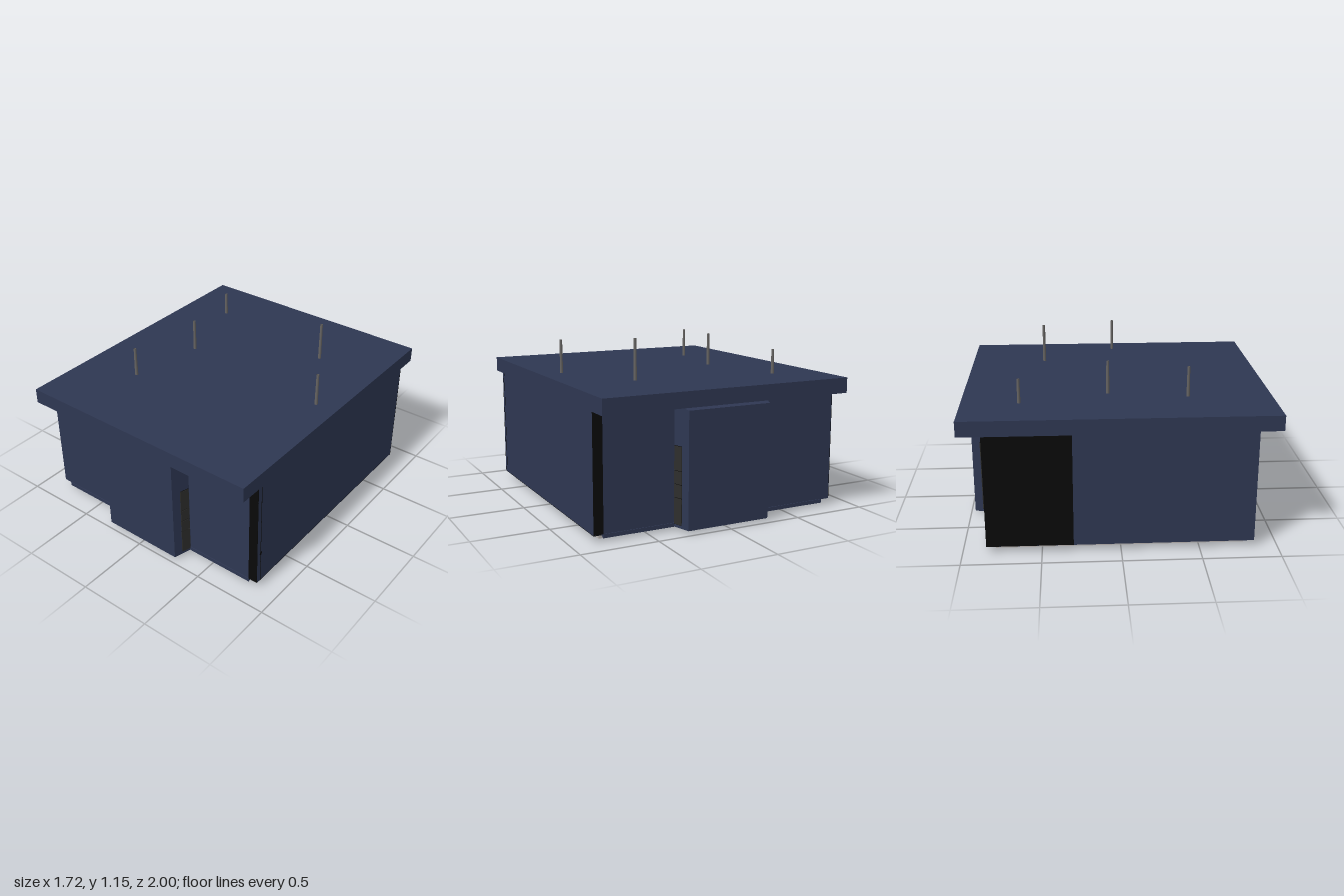
import * as THREE from 'three';

const material = (name, color, side = THREE.FrontSide) => {
  const m = new THREE.MeshStandardMaterial({ color, side });
  m.name = name;
  return m;
};

export function createModel() {
  const model = new THREE.Group();
  model.name = 'rooftopBlock';
  const navy = material('navy', 0x2e3752);
  const black = material('black', 0x090909);
  const charcoal = material('charcoal', 0x2e2e2c);
  const pipeGrey = material('pipeGrey', 0x666462, THREE.DoubleSide);
  const paleGrey = material('paleGrey', 0xb8b4b2);

  const add = (name, geometry, mat, parent = model) => {
    const mesh = new THREE.Mesh(geometry, mat);
    mesh.name = name;
    parent.add(mesh);
    return mesh;
  };
  // Box given by its lower and upper corners
  const box = (name, mat, [x0, y0, z0], [x1, y1, z1], parent) => {
    const g = new THREE.BoxGeometry(x1 - x0, y1 - y0, z1 - z0);
    g.translate((x0 + x1) / 2, (y0 + y1) / 2, (z0 + z1) / 2);
    return add(name, g, mat, parent);
  };

  // Main volumes
  box('roofSlab', navy, [-0.855, 0.785, -1], [0.855, 0.885, 1]);
  box('walls', navy, [-0.855, 0.042, -0.85], [0.855, 0.785, 0.85]);
  box('base', paleGrey, [-0.79, 0, -0.795], [0.8, 0.042, 0.795]);

  // Dark panels on the side and beneath one edge
  box('darkSidePanel', black, [-0.858, 0.044, -0.85], [-0.854, 0.784, -0.3]);
  box('darkEdgeUnderside', black, [0.805, 0.039, -0.85], [0.855, 0.043, 0.85]);
  box('sideSeam', black, [0.853, 0.044, 0.815], [0.856, 0.784, 0.819]);
  const knob = add('sideKnob', new THREE.OctahedronGeometry(0.012), black);
  knob.scale.set(0.3, 2, 1);
  knob.position.set(0.855, 0.265, 0.815);

  // Tapering bay in plan, with its outer top edge lowered
  const bayGeometry = () => {
    const plan = new THREE.Shape([
      new THREE.Vector2(-0.32, -0.85), new THREE.Vector2(-0.285, -0.97),
      new THREE.Vector2(0.285, -0.97), new THREE.Vector2(0.32, -0.85),
    ]);
    const g = new THREE.ExtrudeGeometry(plan, { depth: 0.765, bevelEnabled: false });
    g.rotateX(-Math.PI / 2).translate(0, 0.02, 0);
    const p = g.attributes.position;
    for (let i = 0; i < p.count; i++) {
      if (p.getZ(i) > 0.95 && p.getY(i) > 0.5) p.setY(i, 0.762);
    }
    g.computeVertexNormals();
    return g;
  };

  // Sloping skirt under the wall, as a long wedge
  const skirtGeometry = () => {
    const section = new THREE.Shape([
      new THREE.Vector2(-0.855, 0.02), new THREE.Vector2(-0.795, 0.045),
      new THREE.Vector2(-0.855, 0.045),
    ]);
    const g = new THREE.ExtrudeGeometry(section, { depth: 1.59, bevelEnabled: false });
    return g.rotateY(Math.PI / 2).translate(-0.795, 0, 0);
  };

  const slats = [0.04, 0.21, 0.295, 0.38, 0.535];
  for (const end of [1, -1]) {
    const facade = new THREE.Group();
    facade.name = end > 0 ? 'frontFacade' : 'backFacade';
    facade.rotation.y = end > 0 ? 0 : Math.PI;
    model.add(facade);
    add('bay', bayGeometry(), navy, facade);
    add('skirt', skirtGeometry(), navy, facade);
    // Vents on both slanted sides of the bay
    for (const s of [1, -1]) {
      const vent = new THREE.Group();
      vent.name = s > 0 ? 'leftVent' : 'rightVent';
      vent.position.set(s * 0.311, 0, 0.885);
      vent.rotation.y = -s * Math.atan2(0.035, 0.12);
      facade.add(vent);
      box('ventGap', black, [-0.002, 0.04, -0.03], [0.002, 0.535, 0.03], vent);
      for (let i = 0; i < 4; i++) {
        box('ventSlat', charcoal, [-0.004, slats[i] + 0.002, -0.031],
          [0.004, slats[i + 1] - 0.002, 0.031], vent);
      }
    }
    // Dark corner strip always on the +x side
    box('darkCornerStrip', black, [0.792, 0.044, end * 0.851 - 0.002], [0.855, 0.784, end * 0.851 + 0.002]);
  }

  // Roof pipes: x, z, top height
  const pipes = [
    [-0.53, -0.63, 1.045], [-0.457, 0.455, 1.085], [-0.37, -0.06, 1.105],
    [0.405, -0.485, 1.15], [0.705, 0.023, 1.105],
  ];
  for (const [x, z, top] of pipes) {
    const h = top - 0.885;
    const g = new THREE.CylinderGeometry(0.009, 0.011, h, 8, 1, true);
    add('roofPipe', g, pipeGrey).position.set(x, 0.885 + h / 2, z);
  }
  return model;
}
